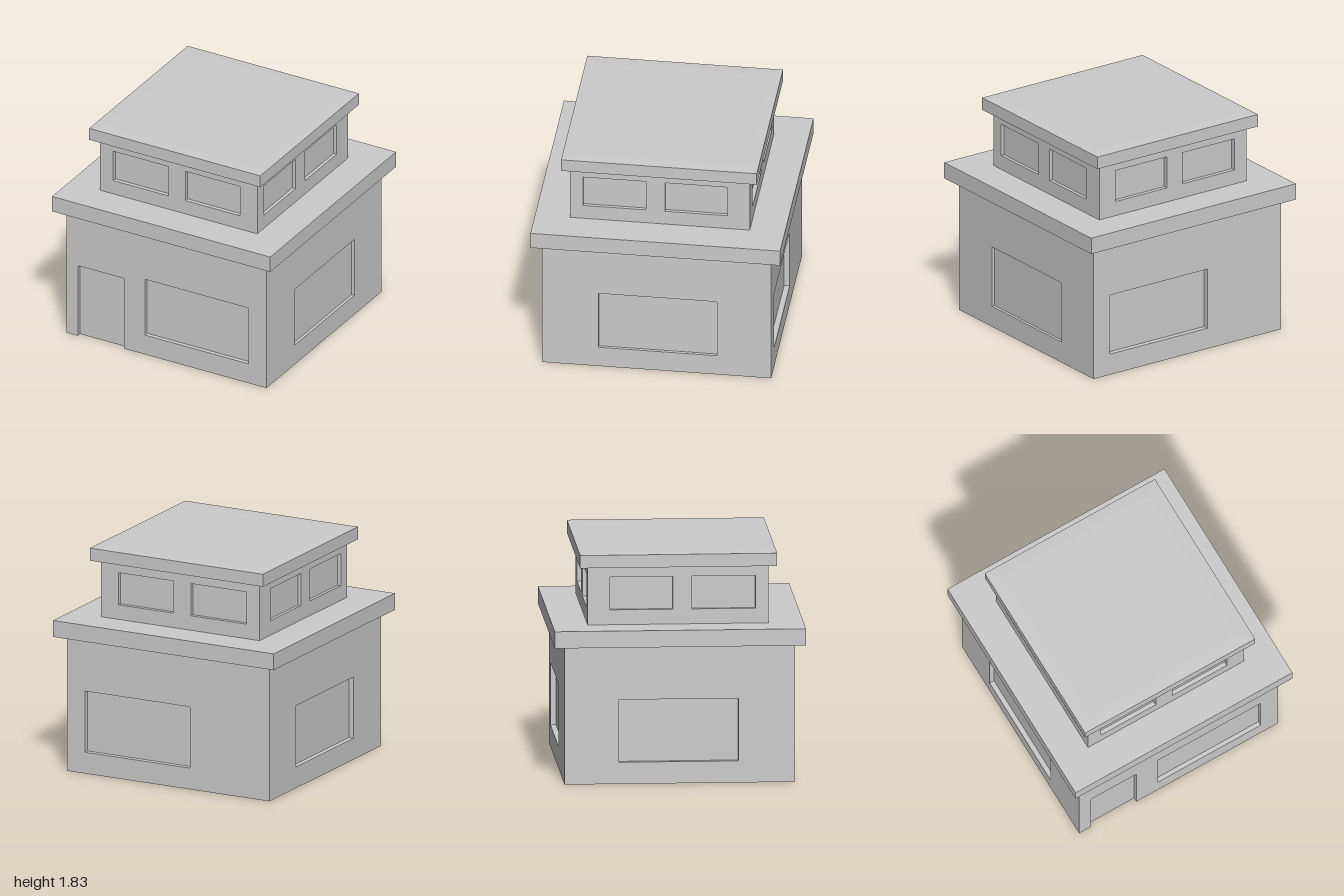
import * as THREE from 'three';

const material = new THREE.MeshStandardMaterial({
  color: 0xcccccc, flatShading: true, side: THREE.DoubleSide,
});

function addMesh(parent, name, geometry) {
  const mesh = new THREE.Mesh(geometry, material);
  mesh.name = name;
  parent.add(mesh);
  return mesh;
}

// Closed rectangular path, used for holes
function rectPath(x0, y0, x1, y1) {
  return new THREE.Path([[x0, y0], [x1, y0], [x1, y1], [x0, y1]].map(p => new THREE.Vector2(...p)));
}

// Shape from a list of corners
const polygon = corners => new THREE.Shape(corners.map(p => new THREE.Vector2(...p)));

// Recess lining: a box open at the front (and at the floor for a door)
function recessGeometry(x0, y0, x1, y1, depth, isDoor) {
  const box = new THREE.BoxGeometry(x1 - x0, y1 - y0, depth);
  const index = Array.from(box.index.array);
  index.splice(24, 6);
  if (isDoor) index.splice(18, 6);
  box.clearGroups();
  box.setIndex(index);
  return box.translate((x0 + x1) / 2, (y0 + y1) / 2, -depth / 2);
}

// One wall facing +z, with sunken windows and an optional door, turned into place
function makeWall(name, half, bottom, top, angle, depth, windows, door) {
  const wall = new THREE.Group();
  wall.name = name;
  const corners = [[-half, bottom]];
  if (door) {
    const [x0, y0, x1, y1] = door;
    corners.push([x0, y0], [x0, y1], [x1, y1], [x1, y0]);
    addMesh(wall, 'doorRecess', recessGeometry(...door, depth, true)).position.z = half;
  }
  corners.push([half, bottom], [half, top], [-half, top]);
  const face = polygon(corners);
  for (const w of windows) {
    face.holes.push(rectPath(...w));
    addMesh(wall, 'windowRecess', recessGeometry(...w, depth, false)).position.z = half;
  }
  addMesh(wall, 'wallFace', new THREE.ShapeGeometry(face)).position.z = half;
  wall.rotation.y = angle;
  return wall;
}

// Square moulding swept from a half-width/height profile
function squareRing(profile) {
  const points = profile.map(([half, y]) => new THREE.Vector2(half * Math.SQRT2, y));
  return new THREE.LatheGeometry(points, 4).rotateY(Math.PI / 4);
}

export function createModel() {
  const model = new THREE.Group();
  model.name = 'house';

  const lower = 0.917, upper = 0.72;
  const door = [-0.81, 0, -0.39, 0.635];
  const low = (a, b) => [a, 0.175, b, 0.68];
  const high = (a, b) => [a, 1.37, b, 1.635];
  const doorDepth = 0.035;

  // Window positions run left to right as seen from outside each wall
  const sides = [
    { name: 'front', angle: 0, depths: [doorDepth, 0.035], big: [-0.195, 0.755],
      small: [[-0.6, -0.095], [0.06, 0.56]], door },
    { name: 'left', angle: Math.PI / 2, depths: [0.025, 0.028], big: [-0.467, 0.483],
      small: [[-0.615, -0.11], [0.042, 0.542]] },
    { name: 'back', angle: Math.PI, depths: [0.045, 0.035], big: [-0.755, 0.195],
      small: [[-0.56, -0.06], [0.095, 0.6]] },
    { name: 'right', angle: -Math.PI / 2, depths: [0.04, 0.028], big: [-0.483, 0.467],
      small: [[-0.542, -0.042], [0.11, 0.615]] },
  ];
  for (const s of sides) {
    model.add(makeWall(s.name + 'LowerWall', lower, 0, 1.115, s.angle, s.depths[0],
      [low(...s.big)], s.door));
    model.add(makeWall(s.name + 'UpperWall', upper, 1.25, 1.72, s.angle, s.depths[1],
      s.small.map(w => high(...w))));
  }

  // Underside, notched at the doorway
  const inner = lower - doorDepth;
  const floor = polygon([
    [-lower, -lower], [lower, -lower], [lower, lower],
    [door[2], lower], [door[2], inner], [door[0], inner], [door[0], lower], [-lower, lower],
  ]);
  addMesh(model, 'floor', new THREE.ShapeGeometry(floor).rotateX(Math.PI / 2));

  // Overhanging ledge between the storeys
  addMesh(model, 'ledge', squareRing([[lower, 1.115], [1, 1.115], [1, 1.25], [upper, 1.25]]));

  // Roof slab with a barely raised middle
  addMesh(model, 'roof', squareRing([
    [upper, 1.72], [0.784, 1.72], [0.784, 1.823], [0.685, 1.828], [0, 1.828],
  ]));

  return model;
}
